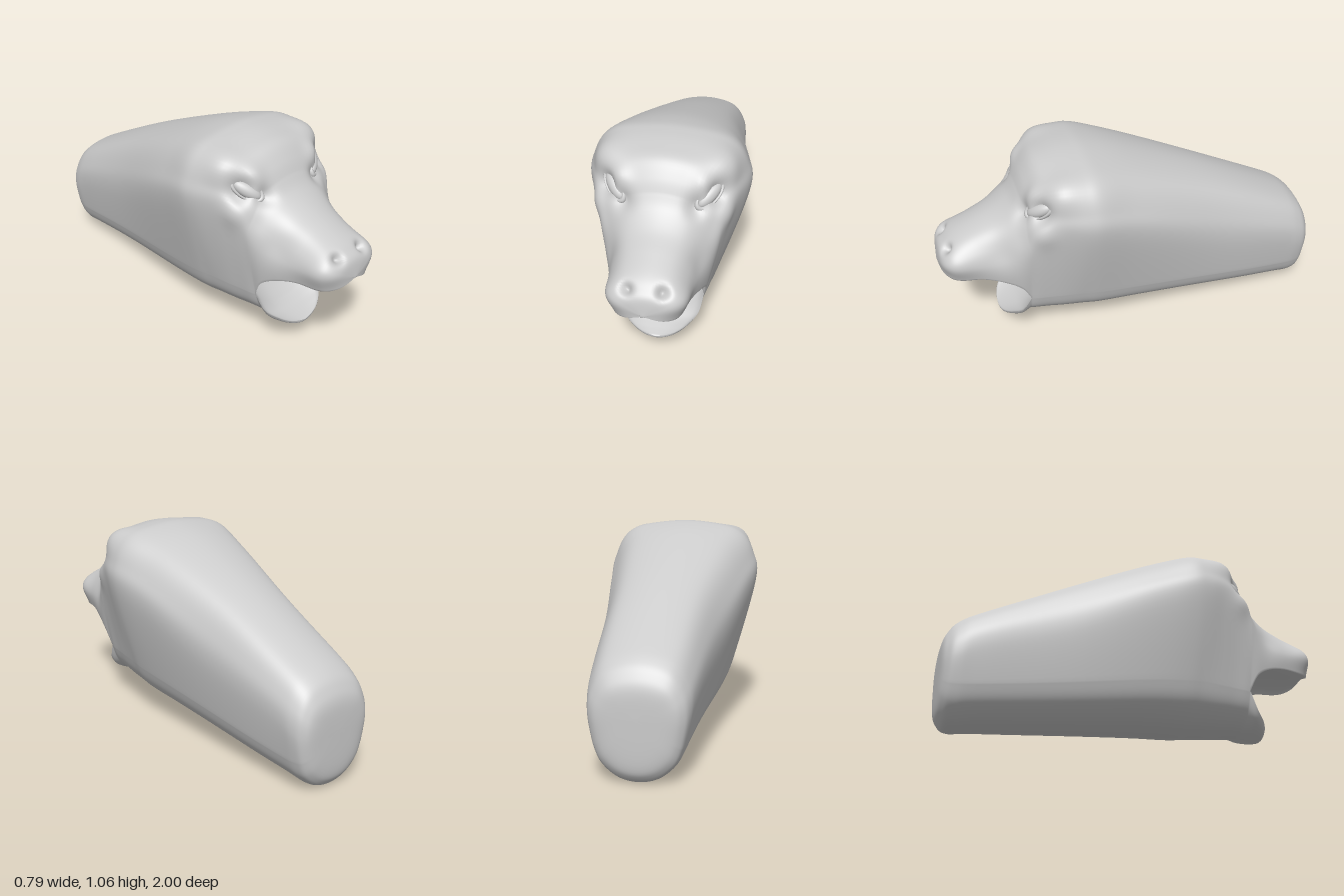
import * as THREE from 'three';
import { mergeVertices, mergeGeometries } from 'three/addons/utils/BufferGeometryUtils.js';

const ACROSS = 72, STEPS = 6;

// Cross-sections from the neck end to the mouth corner: z, side width, side y, top, max width, its y, bottom
const NECK = [
  [-1, 0, 0.3, 0.3, 0, 0.3, 0.3],
  [-0.995, 0.13, 0.22, 0.42, 0.15, 0.3, 0.1],
  [-0.97, 0.185, 0.18, 0.49, 0.205, 0.3, 0.03],
  [-0.92, 0.205, 0.17, 0.55, 0.23, 0.32, 0],
  [-0.8, 0.215, 0.18, 0.62, 0.245, 0.38, 0.015],
  [-0.4, 0.24, 0.23, 0.82, 0.285, 0.5, 0.05],
  [0, 0.27, 0.28, 0.99, 0.355, 0.66, 0.08],
  [0.2, 0.275, 0.3, 1.05, 0.385, 0.72, 0.09],
  [0.3, 0.265, 0.31, 1.055, 0.38, 0.73, 0.1],
  [0.4, 0.25, 0.31, 1.04, 0.35, 0.74, 0.11],
  [0.48, 0.235, 0.31, 1.015, 0.32, 0.73, 0.12],
  [0.54, 0.225, 0.31, 0.95, 0.295, 0.69, 0.125],
  [0.575, 0.215, 0.31, 0.89, 0.28, 0.64, 0.125],
];
// Muzzle: z, lip width, lip y, top, max width, its y, palate y
const MUZZLE = [
  [0.575, 0.215, 0.31, 0.89, 0.28, 0.64, 0.51],
  [0.62, 0.23, 0.4, 0.83, 0.26, 0.6, 0.52],
  [0.7, 0.215, 0.45, 0.77, 0.23, 0.57, 0.525],
  [0.8, 0.185, 0.475, 0.725, 0.2, 0.56, 0.525],
  [0.9, 0.16, 0.475, 0.68, 0.185, 0.56, 0.52],
  [0.95, 0.13, 0.48, 0.645, 0.155, 0.56, 0.515],
  [0.985, 0.075, 0.495, 0.605, 0.095, 0.55, 0.51],
  [1, 0, 0.525, 0.525, 0, 0.525, 0.525],
];
// Lower jaw: z, lip width, lip y, bottom, floor y
const JAW = [
  [0.575, 0.215, 0.31, 0.125, 0.2],
  [0.62, 0.195, 0.225, 0.12, 0.17],
  [0.67, 0.15, 0.185, 0.115, 0.15],
  [0.7, 0.105, 0.16, 0.115, 0.14],
  [0.715, 0.06, 0.145, 0.118, 0.135],
  [0.72, 0, 0.13, 0.13, 0.13],
];
// Mouth cavity: z, width, side y, palate y, floor y
const CAVITY = [
  [0.3, 0, 0.47, 0.47, 0.47],
  [0.34, 0.15, 0.46, 0.48, 0.45],
  [0.42, 0.205, 0.43, 0.49, 0.37],
  [0.5, 0.21, 0.37, 0.5, 0.27],
  [0.575, 0.215, 0.31, 0.51, 0.2],
];
// Swellings and hollows on both sides: x, y, z, radius, height
const SCULPT = [
  [0.32, 0.95, 0.27, 0.14, 0.022],   // crown corner
  [0.29, 0.97, 0.42, 0.09, 0.04],    // outer brow
  [0.2, 0.93, 0.53, 0.05, 0.02],     // inner brow
  [0.17, 0.83, 0.57, 0.045, -0.03],  // inner eye socket
  [0.26, 0.87, 0.5, 0.05, -0.045],   // outer eye socket
  [0.29, 0.76, 0.5, 0.06, 0.015],    // cheekbone
  [0.22, 0.62, 0.7, 0.08, -0.015],   // muzzle hollow
  [0.13, 0.58, 0.93, 0.06, 0.015],   // nostril wing
  [0.085, 0.64, 0.955, 0.026, -0.04], // nostril
];

// Smooth interpolation between table rows
function refine(rows) {
  const out = [], last = rows.length - 1;
  for (let s = 0; s <= last * STEPS; s++) {
    const i = Math.min(Math.floor(s / STEPS), last - 1), t = s / STEPS - i;
    const [a, b, c, d] = [i - 1, i, i + 1, i + 2].map(k => rows[Math.min(Math.max(k, 0), last)]);
    out.push(b.map((_, n) => {
      const m1 = (c[n] - a[n]) / 2, m2 = (d[n] - b[n]) / 2, e = c[n] - b[n];
      return b[n] + t * (m1 + t * (3 * e - 2 * m1 - m2 + t * (m1 + m2 - 2 * e)));
    }));
  }
  return out;
}

// Half outlines [x, y]: a guide point beyond the side seam, the seam, then on to the middle
const mix = THREE.MathUtils.lerp;
function crown([z, lw, ly, top, w, yw]) {
  const round = THREE.MathUtils.smoothstep(z, 0.35, 0.6); // the face is rounder than the neck
  return [[0.88 * lw, ly - 0.06], [lw, ly], [w, yw],
    [mix(0.93, 0.87, round) * w, mix(top, yw, 0.53)], [mix(0.64, 0.55, round) * w, mix(top, yw, 0.14)], [0, top]];
}
const bowl = (lw, ly, mid) => [[1.1 * lw, mix(ly, mid, -0.5)], [lw, ly],
  [0.82 * lw, mix(ly, mid, 0.5)], [0.45 * lw, mix(ly, mid, 0.88)], [0, mid]];

// Skin one band of sections; dir = 1 runs left to right over the top, -1 the other way
function skin(rows, outline, dir) {
  const pos = [], index = [];
  const list = refine(rows);
  list.forEach((row, i) => {
    const half = outline(row).map(([x, y]) => new THREE.Vector3(x * dir, y, row[0]));
    const other = half.slice(0, -1).reverse().map(p => new THREE.Vector3(-p.x, p.y, p.z));
    const points = [...half, ...other], seam = 1 / (points.length - 1);
    const curve = new THREE.CatmullRomCurve3(points, false, 'catmullrom', 0.5);
    for (let j = 0; j <= ACROSS; j++) {
      const p = curve.getPoint(mix(seam, 1 - seam, j / ACROSS));
      pos.push(p.x, p.y, p.z);
      if (i < list.length - 1 && j < ACROSS) {
        const a = i * (ACROSS + 1) + j, b = a + ACROSS + 1;
        index.push(a, a + 1, b, a + 1, b + 1, b);
      }
    }
  });
  const g = new THREE.BufferGeometry();
  g.setAttribute('position', new THREE.Float32BufferAttribute(pos, 3));
  g.setIndex(index);
  return g;
}

function headGeometry() {
  const g = mergeVertices(mergeGeometries([
    skin(NECK, crown, 1),
    skin(NECK, r => bowl(r[1], r[2], r[6]), -1),
    skin(MUZZLE, crown, 1),
    skin(MUZZLE, r => bowl(r[1], r[2], r[6]), -1),
    skin(JAW, r => bowl(r[1], r[2], r[3]), -1),
    skin(JAW, r => bowl(r[1], r[2], r[4]), 1),
    skin(CAVITY, r => bowl(r[1], r[2], r[3]), -1),
    skin(CAVITY, r => bowl(r[1], r[2], r[4]), 1),
  ]), 1e-4);
  g.computeVertexNormals();
  // Push the features in and out along the normals, and lean the neck slightly sideways
  const p = g.attributes.position, n = g.attributes.normal;
  const v = new THREE.Vector3(), c = new THREE.Vector3(), d = new THREE.Vector3();
  for (let i = 0; i < p.count; i++) {
    v.fromBufferAttribute(p, i);
    let push = 0;
    for (const [x, y, z, r, h] of SCULPT) {
      for (const s of [1, -1]) push += h * Math.exp(-v.distanceToSquared(c.set(s * x, y, z)) / (r * r));
    }
    v.addScaledVector(d.fromBufferAttribute(n, i), push);
    v.x += 0.025 * THREE.MathUtils.smoothstep(-v.z, -0.2, 0.7);
    p.setXYZ(i, v.x, v.y, v.z);
  }
  g.computeVertexNormals();
  return g;
}

export function createModel() {
  const model = new THREE.Group();
  const material = new THREE.MeshStandardMaterial({ color: 0xcccccc });
  const add = (parent, name, geometry) => {
    const mesh = new THREE.Mesh(geometry, material);
    mesh.name = name;
    parent.add(mesh);
    return mesh;
  };
  add(model, 'headAndNeck', headGeometry());

  // Slanted eyes with a lid rim, mirrored
  for (const side of [1, -1]) {
    const half = new THREE.Group();
    half.name = side > 0 ? 'leftEye' : 'rightEye';
    half.scale.x = side;
    const eye = new THREE.Group();
    eye.position.set(0.222, 0.86, 0.505);
    eye.rotation.set(-0.45, 0.55, 0.6, 'YXZ');
    add(eye, 'eyeball', new THREE.SphereGeometry(1, 24, 16)).scale.set(0.075, 0.034, 0.03);
    add(eye, 'eyelid', new THREE.TorusGeometry(0.08, 0.013, 10, 32)).scale.set(1, 0.5, 1);
    half.add(eye);
    model.add(half);
  }
  return model;
}
